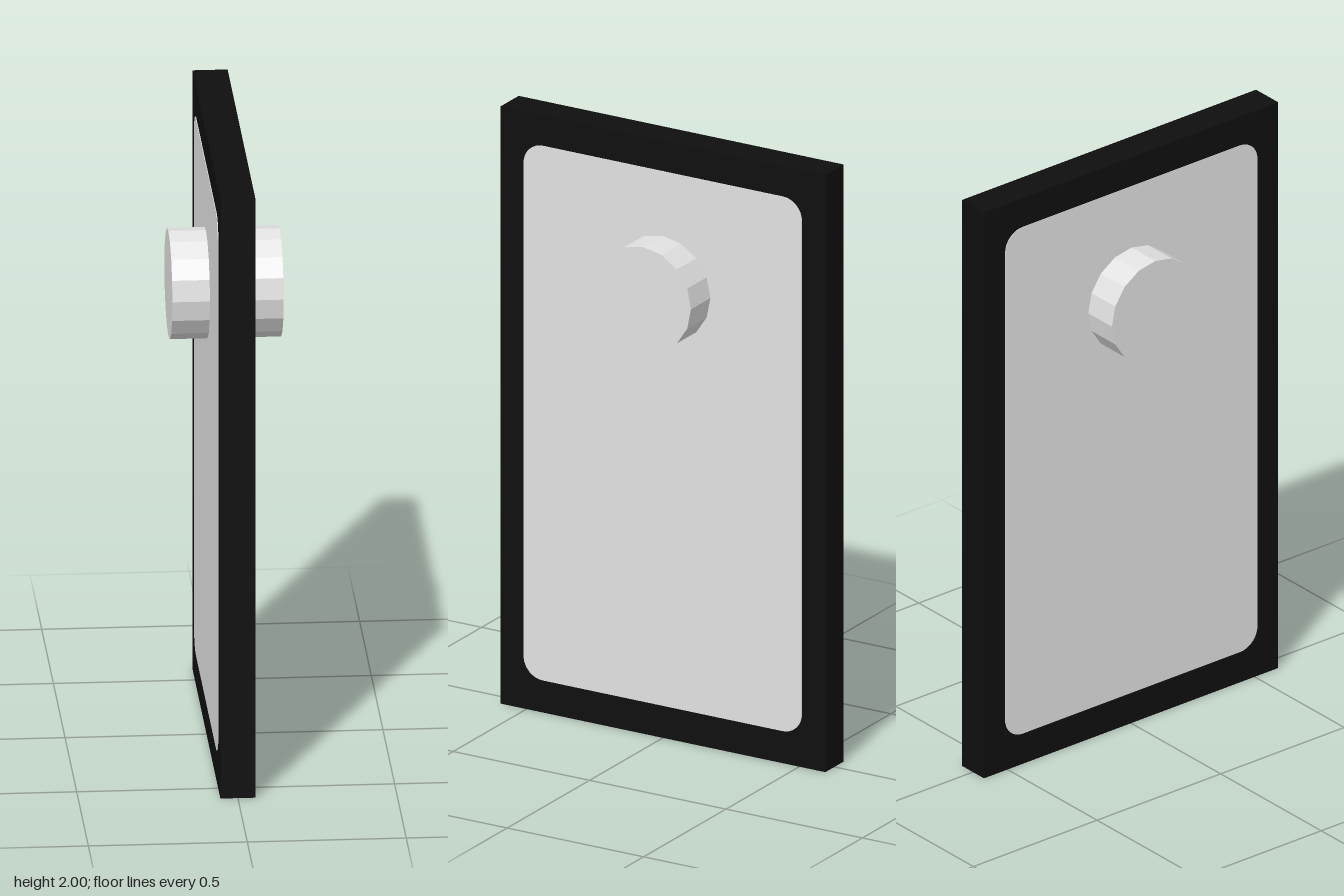
import * as THREE from 'three';

const lightGrey = new THREE.MeshStandardMaterial({ color: 0xe2e2e2, flatShading: true });
lightGrey.name = 'lightGrey';
const black = new THREE.MeshStandardMaterial({ color: 0x0f0f0f, flatShading: true });
black.name = 'black';

// Rounded rectangle centred on the origin
function roundedRect(w, h, r) {
  const x = w / 2, y = h / 2;
  const s = new THREE.Shape();
  s.absarc(x - r, y - r, r, 0, Math.PI / 2);
  s.absarc(-x + r, y - r, r, Math.PI / 2, Math.PI);
  s.absarc(-x + r, -y + r, r, Math.PI, Math.PI * 1.5);
  s.absarc(x - r, -y + r, r, Math.PI * 1.5, Math.PI * 2);
  s.closePath();
  return s;
}

export function createModel() {
  const model = new THREE.Group();
  model.name = 'doorPanel';
  const thickness = 0.11;

  // Upright slab forming the dark border
  const slab = new THREE.Mesh(new THREE.BoxGeometry(thickness, 2, 1.19), black);
  slab.name = 'slab';
  slab.position.y = 1;
  model.add(slab);

  // Matching light panel and knob on each face
  const panelGeo = new THREE.ExtrudeGeometry(roundedRect(1.02, 1.79, 0.07), {
    depth: 0.002, bevelEnabled: false, curveSegments: 4,
  });
  const knobLength = 0.175 - thickness / 2;
  const knobGeo = new THREE.CylinderGeometry(0.175, 0.175, knobLength, 16).rotateZ(Math.PI / 2);

  for (const side of [1, -1]) {
    const name = side > 0 ? 'left' : 'right';

    const panel = new THREE.Mesh(panelGeo, lightGrey);
    panel.name = name + 'Panel';
    panel.rotation.y = side * Math.PI / 2;
    panel.position.set(side * thickness / 2, 1.003, 0);

    const knob = new THREE.Mesh(knobGeo, lightGrey);
    knob.name = name + 'Knob';
    knob.position.set(side * (thickness + knobLength) / 2, 1.507, 0);

    model.add(panel, knob);
  }
  return model;
}
